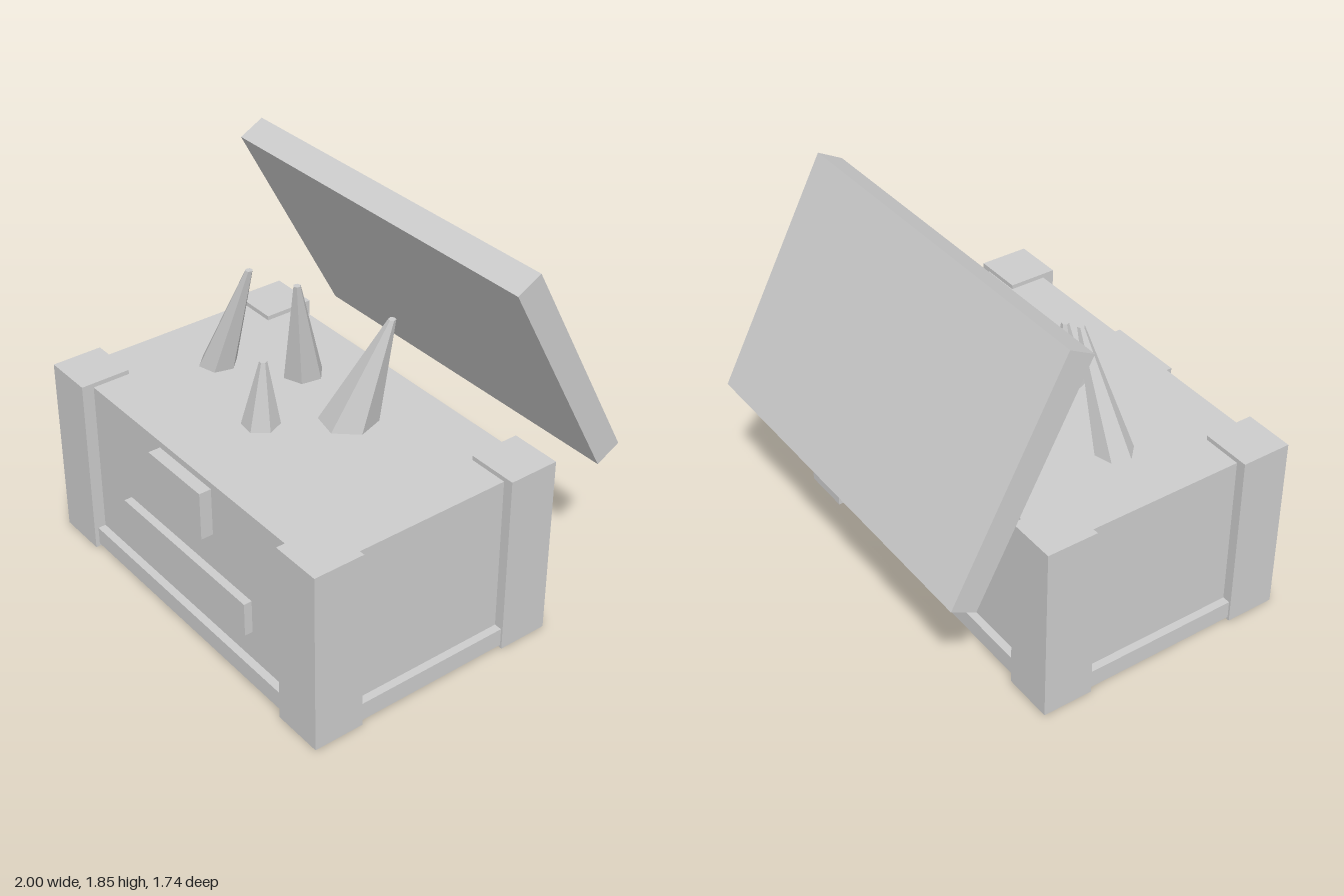
import * as THREE from 'three';

export function createModel() {
  const group = new THREE.Group();
  group.name = 'spikedCrate';
  const grey = new THREE.MeshStandardMaterial({ color: 0xcccccc, flatShading: true });
  grey.name = 'plain grey';

  function add(name, geometry) {
    const mesh = new THREE.Mesh(geometry, grey);
    mesh.name = name;
    group.add(mesh);
    return mesh;
  }

  // Box given by its lower and upper limits on each axis
  function box(name, x0, x1, y0, y1, z0, z1) {
    const mesh = add(name, new THREE.BoxGeometry(x1 - x0, y1 - y0, z1 - z0));
    mesh.position.set((x0 + x1) / 2, (y0 + y1) / 2, (z0 + z1) / 2);
    return mesh;
  }

  // Six-sided spike: horizontal base ring sheared towards an off-centre tip
  function spike(name, [bx, bz], radius, [tx, ty, tz], turn) {
    const y0 = 0.89, height = ty - y0;
    const start = Math.PI / 2 - THREE.MathUtils.degToRad(turn);
    const geo = new THREE.CylinderGeometry(0.018, radius, height, 6, 1, false, start);
    const pos = geo.attributes.position;
    for (let i = 0; i < pos.count; i++) {
      const t = pos.getY(i) / height + 0.5;
      pos.setXYZ(i,
        pos.getX(i) + bx + (tx - bx) * t,
        y0 + height * t,
        pos.getZ(i) + bz + (tz - bz) * t);
    }
    geo.computeVertexNormals();
    add(name, geo);
  }

  // Chest body and base skirting
  box('body', -0.95, 0.95, 0.05, 0.893, -0.37, 0.81);
  box('base', -0.99, 0.99, 0.015, 0.107, -0.41, 0.85);

  // Corner posts
  for (const [side, x0] of [['left', 0.747], ['right', -1]]) {
    box(side + 'FrontPost', x0, x0 + 0.253, 0, 0.915, 0.62, 0.87);
    box(side + 'BackPost', x0, x0 + 0.253, 0, 0.915, -0.43, -0.177);
  }

  // Front plates
  box('latchPlate', -0.197, 0.197, 0.62, 0.86, 0.78, 0.87);
  box('labelPlate', -0.475, 0.475, 0.26, 0.43, 0.78, 0.85);

  // Open lid floating behind the chest
  const lid = add('lid', new THREE.BoxGeometry(1.9, 1.19, 0.137));
  lid.position.set(0, 1.294, -0.53);
  lid.rotation.x = 0.489;

  // Spikes growing out of the top
  spike('rightSpike', [-0.58, 0.235], 0.094, [-0.375, 1.457, 0.185], 45);
  spike('backSpike', [-0.263, -0.025], 0.1, [-0.152, 1.442, 0.085], 40);
  spike('frontSpike', [-0.04, 0.377], 0.09, [-0.03, 1.217, 0.363], 7);
  spike('leftSpike', [0.172, 0.05], 0.138, [0.295, 1.417, -0.09], 12);

  return group;
}
